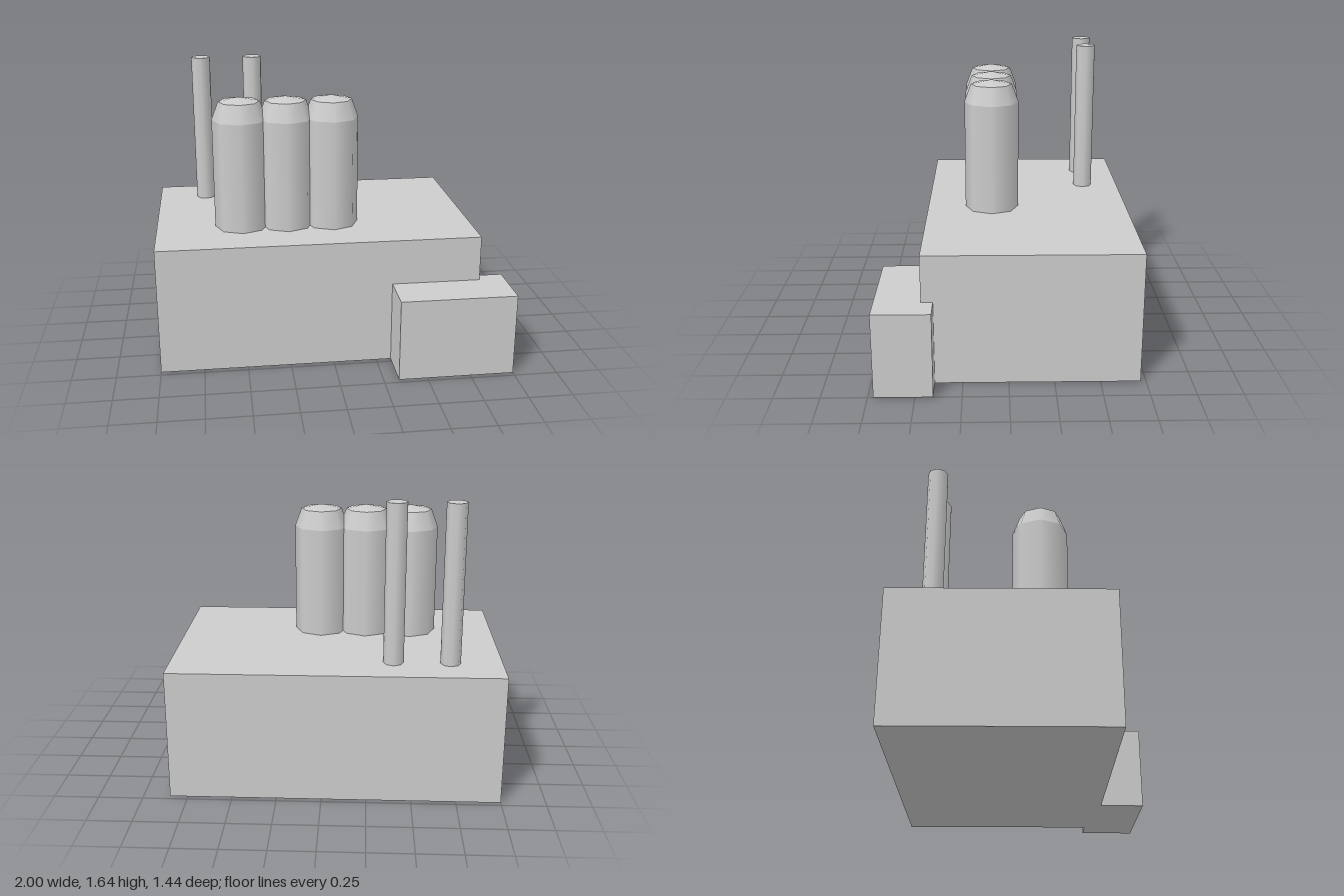
import * as THREE from 'three';

export function createModel() {
  const model = new THREE.Group();
  model.name = 'factory';
  const concrete = new THREE.MeshStandardMaterial({ color: 0xcccccc });
  concrete.name = 'concrete grey';

  const add = (parent, name, geometry, x, y, z) => {
    const mesh = new THREE.Mesh(geometry, concrete);
    mesh.name = name;
    mesh.position.set(x, y, z);
    parent.add(mesh);
  };

  // Box given by its limits, standing on the ground
  const block = (name, x0, x1, height, z0, z1) =>
    add(model, name, new THREE.BoxGeometry(x1 - x0, height, z1 - z0),
      (x0 + x1) / 2, height / 2, (z0 + z1) / 2);

  // Eight-sided tube section between two heights
  const section = (parent, name, rTop, rBottom, y0, y1, open) =>
    add(parent, name, new THREE.CylinderGeometry(rTop, rBottom, y1 - y0, 8, 1, open),
      0, (y0 + y1) / 2, 0);

  const roof = 0.742;
  block('mainHall', -1, 0.85, roof, -0.72, 0.468);
  block('entranceAnnex', 0.337, 1, 0.478, 0.403, 0.72);

  // Row of three overlapping silos with tapered shoulders and shallow caps
  [-0.5, -0.235, 0.03].forEach((x, i) => {
    const silo = new THREE.Group();
    silo.name = `silo${i + 1}`;
    silo.position.set(x, 0, 0.086);
    section(silo, 'siloWall', 0.158, 0.158, roof, 1.382, true);
    section(silo, 'siloShoulder', 0.119, 0.158, 1.382, 1.487, true);
    section(silo, 'siloCap', 0, 0.119, 1.487, 1.511, true);
    model.add(silo);
  });

  // Two slim chimneys at the back
  [-0.71, -0.394].forEach((x, i) => {
    const chimney = new THREE.Group();
    chimney.name = `chimney${i + 1}`;
    chimney.position.set(x, 0, -0.5);
    section(chimney, 'chimneyShaft', 0.057, 0.057, roof, 1.645, false);
    model.add(chimney);
  });

  return model;
}
